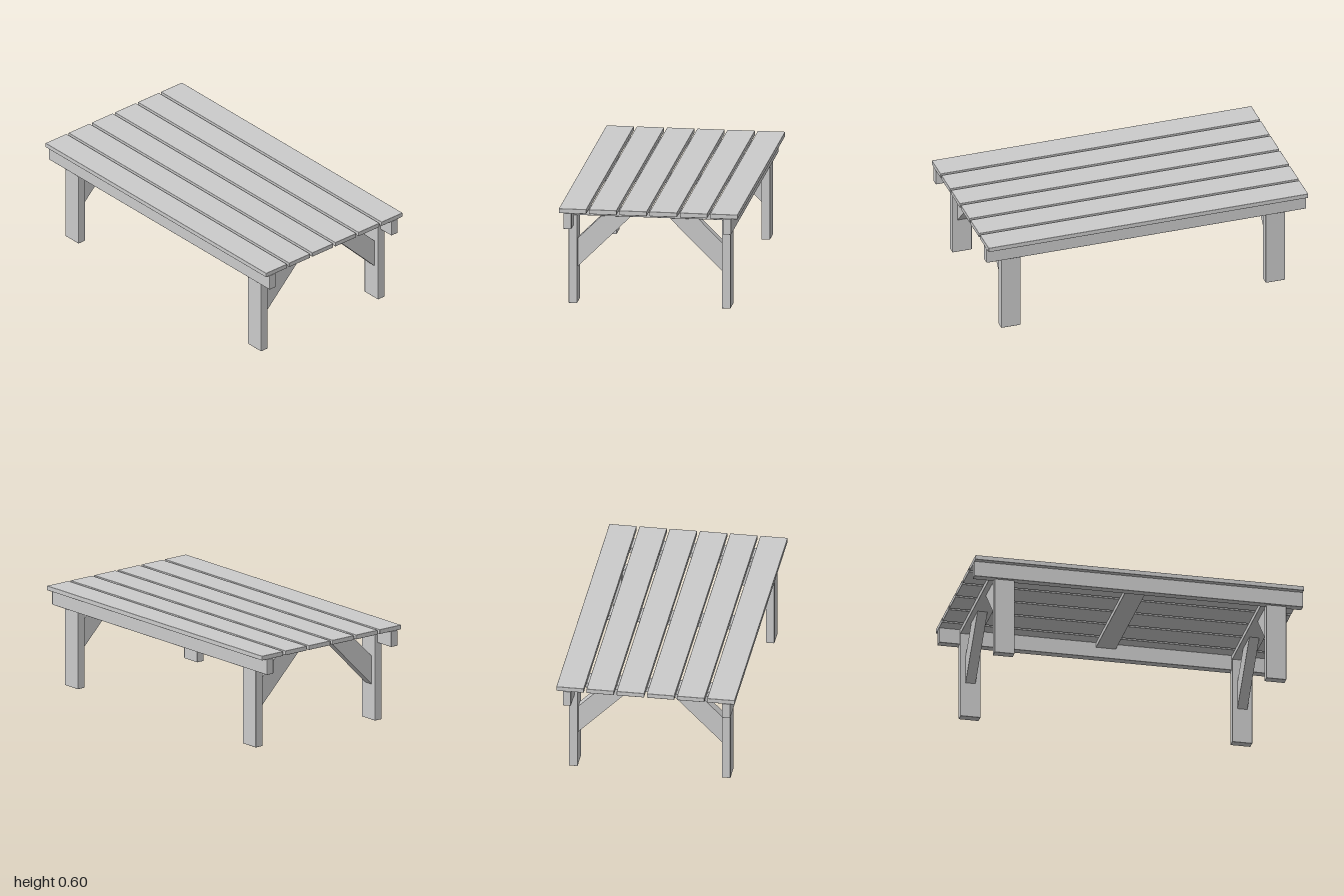
import * as THREE from 'three';
import { RoundedBoxGeometry } from 'three/addons/geometries/RoundedBoxGeometry.js';

const material = new THREE.MeshStandardMaterial({ color: 0xcccccc });

// Board with slightly eased edges, given by its extents on each axis
function board(name, [x0, x1], [y0, y1], [z0, z1]) {
  const geometry = new RoundedBoxGeometry(x1 - x0, y1 - y0, z1 - z0, 1, 0.003);
  const mesh = new THREE.Mesh(geometry, material);
  mesh.name = name;
  mesh.position.set((x0 + x1) / 2, (y0 + y1) / 2, (z0 + z1) / 2);
  return mesh;
}

// Diagonal brace from the inner face of a leg up to the batten
function brace(x, legZ, side) {
  const shape = new THREE.Shape([
    [0, 0.219], [0, 0.392], [0.15, 0.541], [0.324, 0.541],
  ].map(([d, y]) => new THREE.Vector2(-(legZ - side * d), y)));
  const thickness = 0.06;
  const geometry = new THREE.ExtrudeGeometry(shape, { depth: thickness, bevelEnabled: false });
  geometry.translate(0, 0, -thickness / 2).rotateY(Math.PI / 2);
  const mesh = new THREE.Mesh(geometry, material);
  mesh.name = 'brace';
  mesh.position.x = x;
  return mesh;
}

export function createModel() {
  const table = new THREE.Group();
  table.name = 'slattedTable';

  // Six top planks
  for (let i = 0; i < 6; i++) {
    const z = (i - 2.5) * 0.1815;
    table.add(board('topPlank', [-1, 1], [0.574, 0.602], [z - 0.0825, z + 0.0825]));
  }

  // Long aprons under the outer planks
  table.add(board('frontApron', [-1, 1], [0.478, 0.574], [0.46, 0.509]));
  table.add(board('backApron', [-1, 1], [0.478, 0.574], [-0.497, -0.448]));

  // Cross battens between the aprons
  const half = 0.061;
  for (const x of [-0.813, 0.015, 0.841]) {
    table.add(board('batten', [x - half, x + half], [0.541, 0.573], [-0.448, 0.46]));
  }

  // Legs and braces at both ends
  for (const x of [-0.813, 0.841]) {
    table.add(board('frontLeg', [x - half, x + half], [0, 0.541], [0.44, 0.491]));
    table.add(board('backLeg', [x - half, x + half], [0, 0.541], [-0.48, -0.428]));
    table.add(brace(x, 0.44, 1), brace(x, -0.428, -1));
  }
  return table;
}
